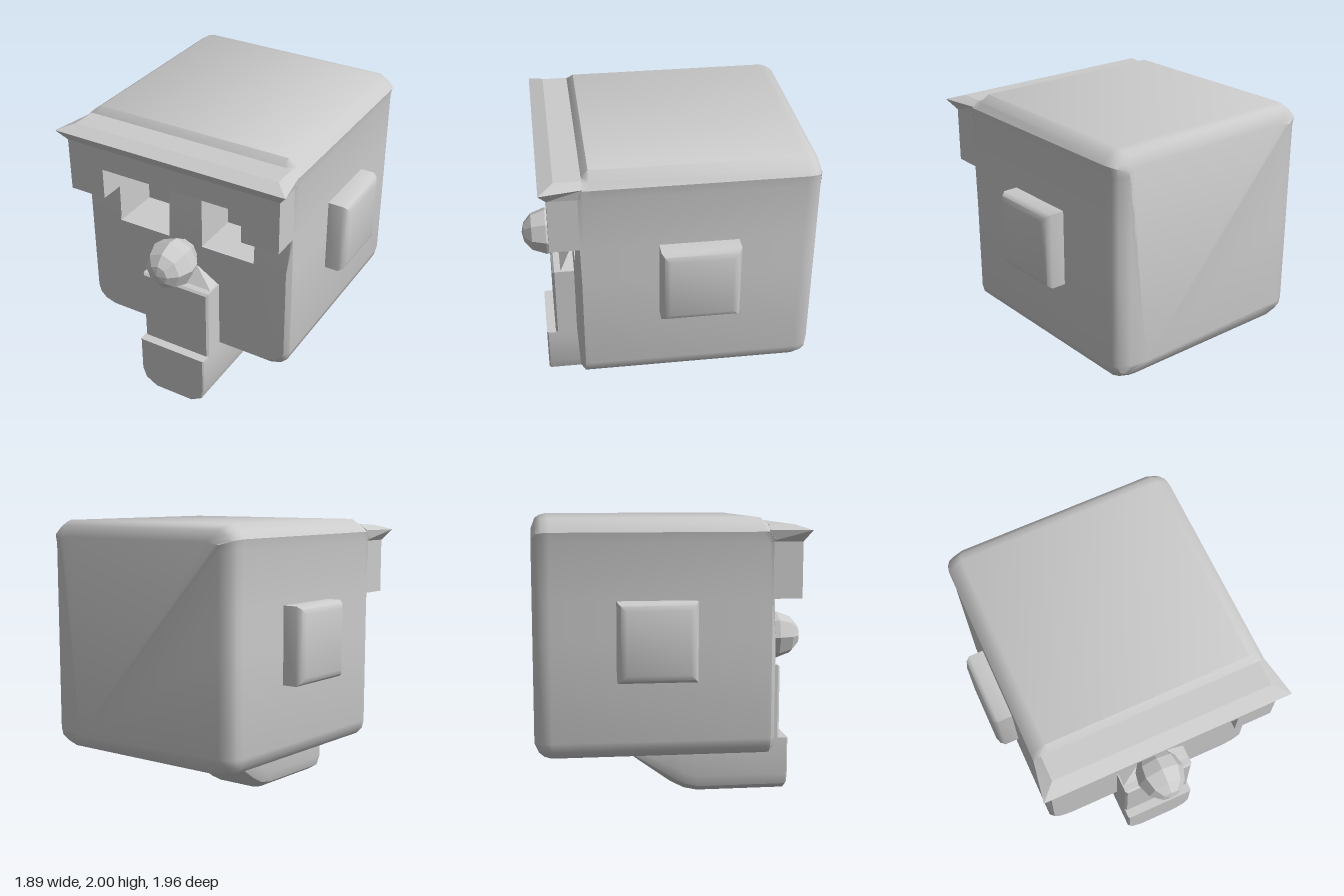
import * as THREE from 'three';
import { toCreasedNormals } from 'three/addons/utils/BufferGeometryUtils.js';

const material = new THREE.MeshStandardMaterial({ color: 0xcccccc });

// Skin equal-length rings of [x, y, z] points, with optional flat ends
function loft(rings, capStart = true, capEnd = true, crease = 0.75) {
  const n = rings[0].length;
  const index = [];
  for (let i = 0; i < rings.length - 1; i++) {
    for (let j = 0; j < n; j++) {
      const a = i * n + j, b = i * n + (j + 1) % n;
      index.push(a, b, b + n, a, b + n, a + n);
    }
  }
  const last = (rings.length - 1) * n;
  for (let k = 1; k < n - 1; k++) {
    if (capStart) index.push(0, k + 1, k);
    if (capEnd) index.push(last, last + k, last + k + 1);
  }
  const geometry = new THREE.BufferGeometry();
  geometry.setAttribute('position', new THREE.Float32BufferAttribute(rings.flat(2), 3));
  geometry.setIndex(index);
  return toCreasedNormals(geometry, crease);
}

// Right half of an outline, bottom to top, completed on the left
const mirror = (half) => [...half, ...half.map(([x, ...rest]) => [-x, ...rest]).reverse()];
const outline = (half) => new THREE.Shape(half.map(([x, y]) => new THREE.Vector2(x, y)));

// Right half of the head's cross-section at z, drawn in by an inset
function headHalf(z, inset, top) {
  return [
    [0.66, 0.4 + inset, z], [0.74, 0.425 + inset * 0.9, z], [0.785, 0.47 + inset * 0.4, z], [0.8, 0.53, z],
    [0.8, 1.2, z], [0.8, 1.47, z], [0.8, 1.84, z],
    [0.812, Math.min(1.91, top - 0.03) - inset * 0.3, z],
    [0.775, Math.min(1.955, top - 0.01) - inset * 0.7, z], [0.71, top - inset, z],
  ].map(([x, y]) => [x - inset, y, z]);
}

export function createModel() {
  const model = new THREE.Group();
  const add = (name, geometry) => {
    const mesh = new THREE.Mesh(geometry, material);
    mesh.name = name;
    model.add(mesh);
    return mesh;
  };

  // Head shell: rounded back, stepped top edge, front rim fading out under the brow
  const rim = headHalf(0.6, 0, 1.9).map(([x, y]) => (y <= 1.2
    ? [x - 0.03, y < 0.5 ? y + 0.03 : y, 0.63] : [x, y, 0.605]));
  const sections = [
    [-0.975, 0.11, 2], [-0.945, 0.035, 2], [-0.91, 0.012, 2], [-0.86, 0, 2],
    [0.53, 0, 2], [0.575, 0, 1.955], [0.6, 0, 1.9],
  ];
  const shell = sections.map(([z, inset, top]) => mirror(headHalf(z, inset, top)));
  add('head', loft([...shell, mirror(rim)], true, false));

  // Face panel with two notches for the eyes, leaning back above the cheeks
  const cheek = rim.filter(([, y]) => y <= 1.47);
  const notch = [[0.8, 1.69], [0.53, 1.69], [0.53, 1.2], [0.13, 1.2], [0.13, 1.69]];
  const face = new THREE.ShapeGeometry(outline(mirror([...cheek, ...notch])));
  const p = face.attributes.position;
  for (let i = 0; i < p.count; i++) {
    p.setZ(i, 0.63 - 0.025 * THREE.MathUtils.clamp((p.getY(i) - 1.2) / 0.27, 0, 1));
  }
  face.computeVertexNormals();
  add('face', face);

  // Eye sockets: boxes turned inside out, open at the front
  for (const side of [1, -1]) {
    const socket = new THREE.BoxGeometry(0.4, 0.49, 0.345);
    const faces = [...socket.index.array];
    socket.setIndex([...faces.slice(0, 24), ...faces.slice(30)].reverse());
    const inside = socket.toNonIndexed();
    inside.computeVertexNormals();
    add(side > 0 ? 'leftEyeSocket' : 'rightEyeSocket', inside).position.set(side * 0.33, 1.445, 0.4525);
  }

  // Overhanging brow with a wide cutout above the eyes
  const brow = new THREE.ExtrudeGeometry(
    outline(mirror([[0.53, 1.69], [0.53, 1.47], [0.8, 1.47], [0.8, 1.85]])),
    { depth: 0.2, bevelEnabled: false });
  add('brow', brow.translate(0, 0, 0.6));

  // Flared brim on top of the brow
  const brimRing = (y, xFront, zFront, xBack) => [
    [xFront, y, zFront], [xBack, y, 0.575], [-xBack, y, 0.575], [-xFront, y, zFront],
  ];
  add('brim', loft([
    brimRing(1.845, 0.8, 0.8, 0.8),
    brimRing(1.92, 0.86, 0.85, 0.812),
    brimRing(1.955, 0.76, 0.75, 0.76),
  ], true, true, 0.3));

  // Square ears with a softened outer face
  const earRings = [[0.75, 0], [0.9, 0], [0.93, 0.02], [0.945, 0.055]].map(([z, inset]) => {
    const r = 0.2625 - inset;
    return mirror([[r, -r, z], [r, r, z]]);
  });
  for (const side of [1, -1]) {
    const ear = add(side > 0 ? 'leftEar' : 'rightEar', loft(earRings, false, true, 0.6));
    ear.rotation.y = side * Math.PI / 2;
    ear.position.set(0, 1.205, -0.17);
  }

  // Lower beard: sloped underside running back beneath the head
  const beardRing = (z, bottom, inset = 0) => {
    const c = Math.min(1, (0.4 - bottom) / 0.14);
    return mirror([
      [0.15, bottom + inset], [0.235, bottom + 0.05 * c + inset],
      [0.262, bottom + 0.13 * c], [0.262, 0.4],
    ].map(([x, y]) => [x - inset, y, z]));
  };
  add('lowerBeard', loft([
    beardRing(-0.42, 0.39), beardRing(0, 0.075), beardRing(0.1, 0.022),
    beardRing(0.2, 0), beardRing(0.84, 0), beardRing(0.85, 0, 0.01),
  ], true, true, 0.6));

  // Upper beard against the face
  const upperRing = (z, inset) => mirror([[0.262 - inset, 0.39, z], [0.262 - inset, 0.935 - inset, z]]);
  add('upperBeard', loft([upperRing(0.6, 0), upperRing(0.77, 0), upperRing(0.785, 0.014)]));

  // Wedge between beard and nose
  add('moustache', loft([
    [[0.26, 0.93, 0.73], [0.26, 0.93, 0.6], [-0.26, 0.93, 0.6], [-0.26, 0.93, 0.73]],
    [[0.1, 1.03, 0.64], [0.1, 1.03, 0.6], [-0.1, 1.03, 0.6], [-0.1, 1.03, 0.64]],
  ], true, true, 0.1));

  // Faceted eight-sided nose, narrowing into the face
  const profile = [[0.09, 0.6], [0.1, 0.64], [0.155, 0.72], [0.172, 0.81], [0.135, 0.91], [0.07, 0.965], [0, 0.98]]
    .map(([r, z]) => new THREE.Vector2(r, z));
  const nose = add('nose', new THREE.LatheGeometry(profile, 8).rotateX(Math.PI / 2));
  nose.material = new THREE.MeshStandardMaterial({ color: 0xcccccc, flatShading: true });
  nose.position.set(-0.007, 1.12, 0);

  return model;
}
